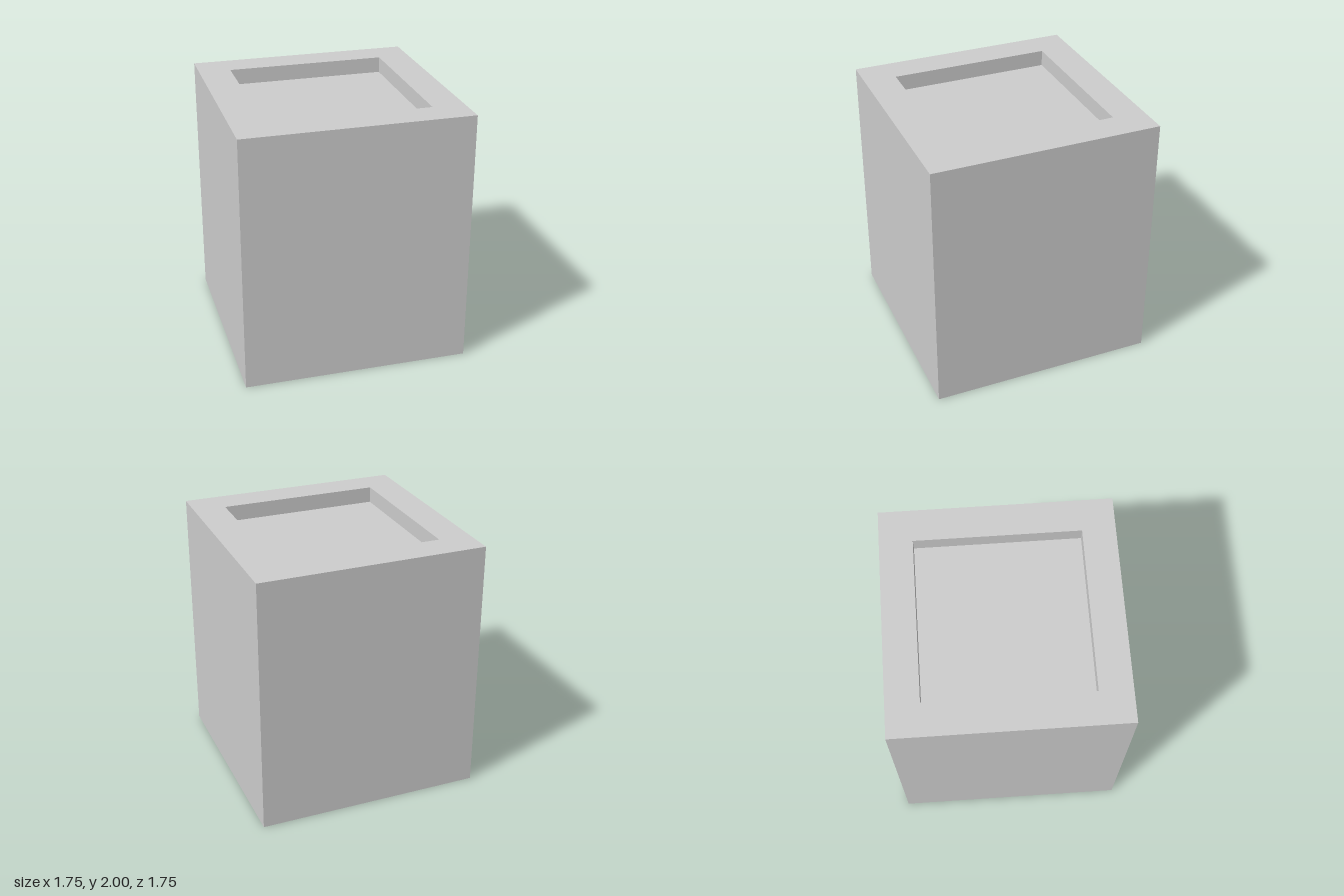
import * as THREE from 'three';

const WIDTH = 1.75, HEIGHT = 2, OPENING = 1.25, RECESS = 0.125;

// Points of a centred square
function square(size) {
  const h = size / 2;
  return [[-h, -h], [h, -h], [h, h], [-h, h]].map(([x, y]) => new THREE.Vector2(x, y));
}

export function createModel() {
  const group = new THREE.Group();
  group.name = 'recessedBlock';
  const material = new THREE.MeshStandardMaterial({ color: 0xcccccc, flatShading: true });

  // Outer walls with a square opening running from bottom to top
  const outline = new THREE.Shape(square(WIDTH));
  outline.holes.push(new THREE.Path(square(OPENING).reverse()));
  const bodyGeometry = new THREE.ExtrudeGeometry(outline, { depth: HEIGHT, bevelEnabled: false });
  bodyGeometry.rotateX(-Math.PI / 2);
  const body = new THREE.Mesh(bodyGeometry, material);
  body.name = 'body';
  group.add(body);

  // Sunken panels closing the opening at the top and bottom
  for (const [name, y, facing] of [['topPanel', HEIGHT - RECESS, -1], ['bottomPanel', RECESS, 1]]) {
    const panel = new THREE.Mesh(new THREE.PlaneGeometry(OPENING, OPENING), material);
    panel.name = name;
    panel.rotation.x = facing * Math.PI / 2;
    panel.position.y = y;
    group.add(panel);
  }
  return group;
}
